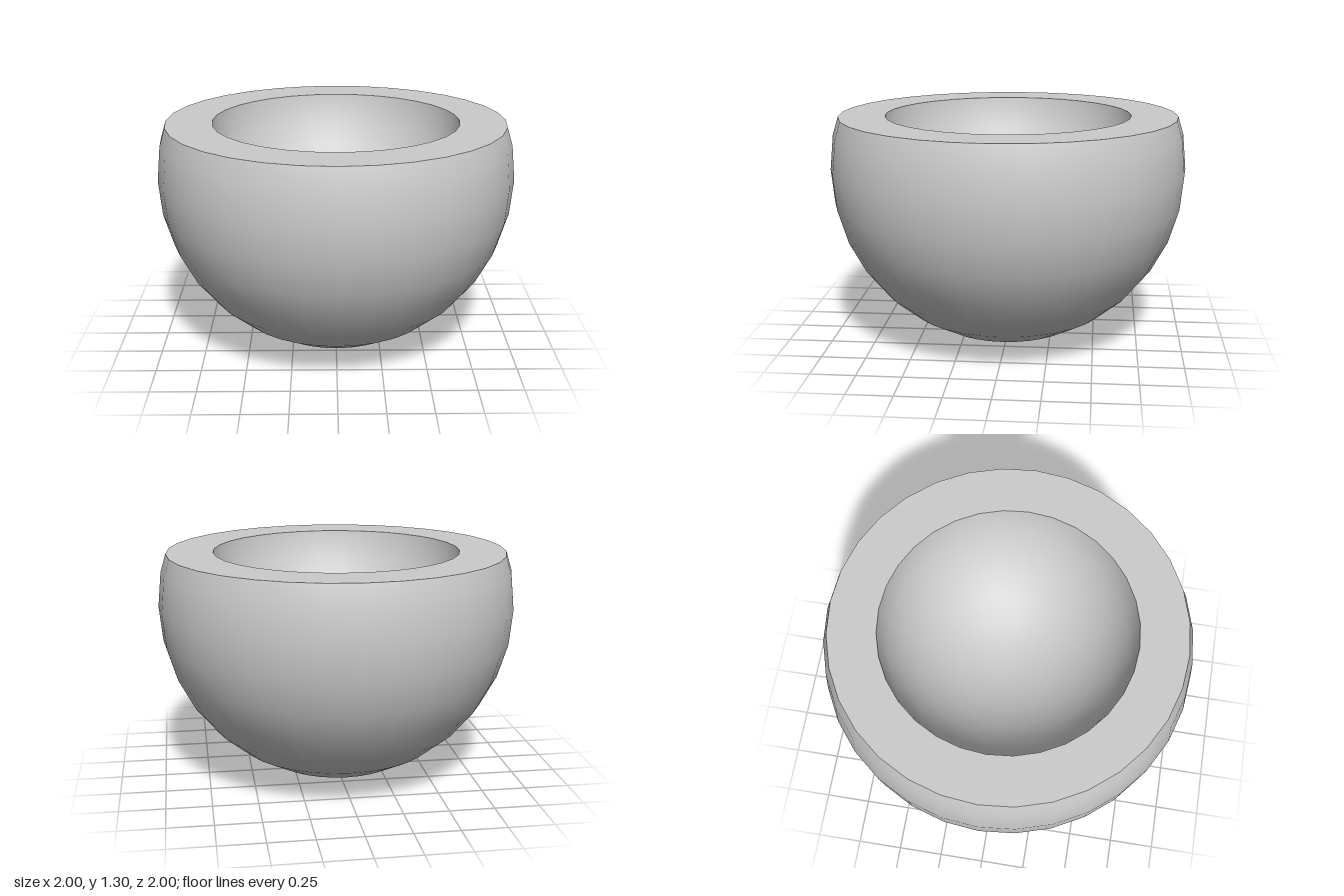
import * as THREE from 'three';

const SIDES = 32, RINGS = 16, CUT = 1.296;

// Profile of a faceted sphere from its bottom pole up to the level cut
function cutProfile(radius, centre) {
  const points = [];
  for (let i = 0; i <= RINGS; i++) {
    const a = (i / RINGS) * Math.PI;
    const p = new THREE.Vector2(radius * Math.sin(a), centre - radius * Math.cos(a));
    if (p.y >= CUT) {
      const last = points[points.length - 1];
      points.push(last.clone().lerp(p, (CUT - last.y) / (p.y - last.y)));
      break;
    }
    points.push(p);
  }
  return points;
}

// Turn a wall and give it true spherical normals (sign -1 faces inward)
function roundWall(profile, centre, sign) {
  const geometry = new THREE.LatheGeometry(profile, SIDES);
  const { position, normal } = geometry.attributes;
  const n = new THREE.Vector3();
  for (let i = 0; i < position.count; i++) {
    n.fromBufferAttribute(position, i);
    n.y -= centre;
    n.normalize().multiplyScalar(sign);
    normal.setXYZ(i, n.x, n.y, n.z);
  }
  return geometry;
}

export function createModel() {
  const group = new THREE.Group();
  group.name = 'bowl';
  const material = new THREE.MeshStandardMaterial({ color: 0xcccccc });
  const add = (name, geometry) => {
    const mesh = new THREE.Mesh(geometry, material);
    mesh.name = name;
    group.add(mesh);
  };

  const outerCentre = 1, innerCentre = 1.4;
  const outer = cutProfile(1, outerCentre);
  const inner = cutProfile(0.7, innerCentre).reverse();

  // Outside wall, turned bottom to top
  add('outerWall', roundWall(outer, outerCentre, 1));

  // Shallow hollow, turned top to bottom so it faces inward
  add('innerWall', roundWall(inner, innerCentre, -1));

  // Flat rim joining both walls
  add('rim', new THREE.LatheGeometry([outer[outer.length - 1], inner[0]], SIDES));

  return group;
}
